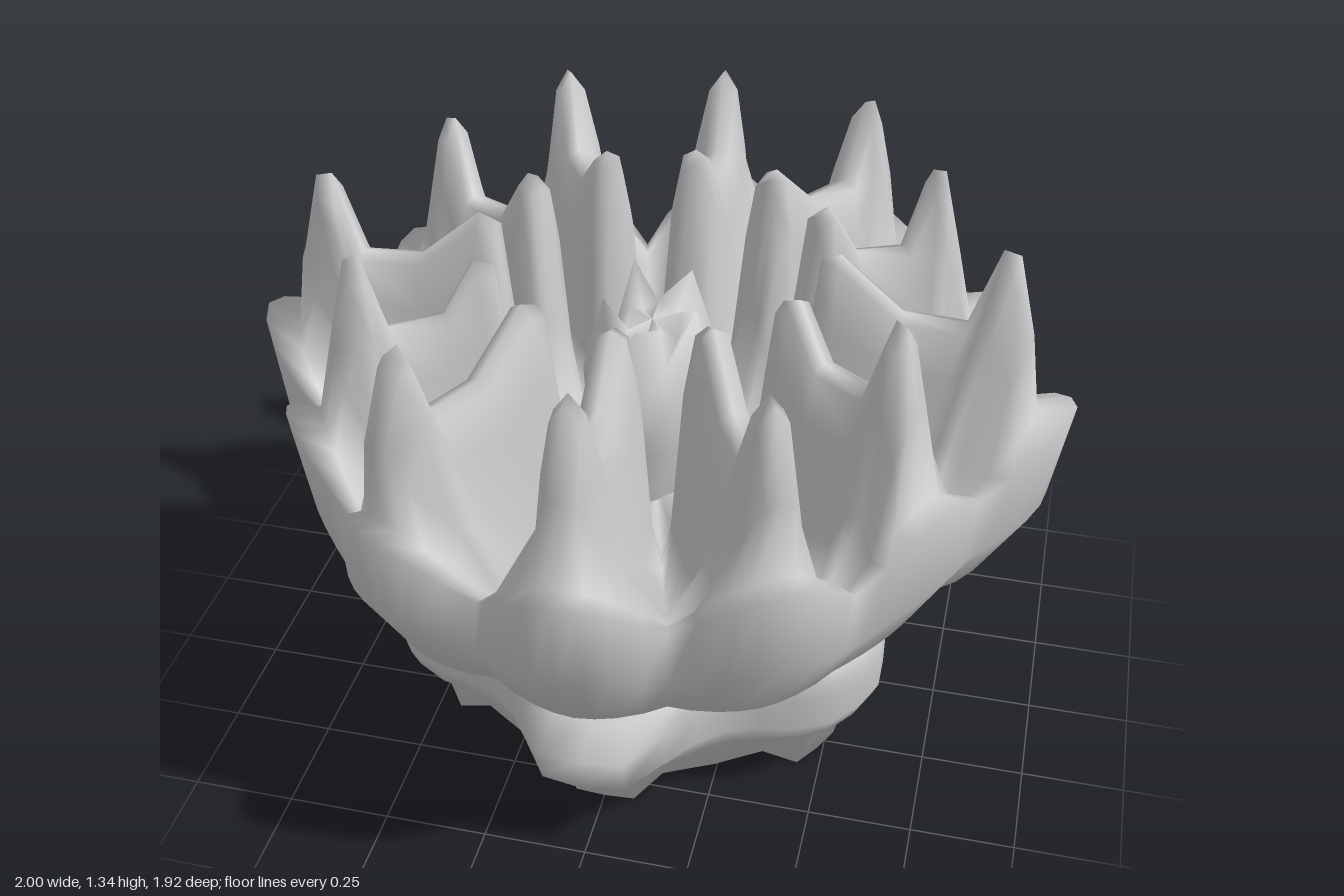
import * as THREE from 'three';

const material = new THREE.MeshStandardMaterial({ color: 0xcccccc, side: THREE.DoubleSide });
const LOBES = 12;
const STEP = (Math.PI * 2) / LOBES;
const HALF = Math.tan(STEP / 2);

// Skin of closed rings, stacked from the underside outwards and upwards
function ringSkin(name, rows, cols, point) {
  const pos = [], index = [];
  for (let i = 0; i < rows; i++)
    for (let j = 0; j < cols; j++) pos.push(...point(i, j));
  for (let i = 0; i < rows - 1; i++)
    for (let j = 0; j < cols; j++) {
      const k = (j + 1) % cols;
      const a = i * cols + j, b = i * cols + k, c = b + cols, d = a + cols;
      index.push(a, b, c, a, c, d);
    }
  const geometry = new THREE.BufferGeometry();
  geometry.setAttribute('position', new THREE.Float32BufferAttribute(pos, 3));
  geometry.setIndex(index);
  geometry.computeVertexNormals();
  const mesh = new THREE.Mesh(geometry, material);
  mesh.name = name;
  return mesh;
}

// Bowl sections: lobe centre radius, height, then valley radius, height
const SECTIONS = [
  [0.52, 0.40, 0.52, 0.40],
  [0.64, 0.42, 0.62, 0.42],
  [0.84, 0.50, 0.76, 0.51],
  [0.96, 0.70, 0.84, 0.65],
  [1.00, 0.95, 0.82, 0.78],
  [0.91, 0.93, 0.79, 0.77],
  // ridge: outer spike, saddle, inner tip, down to the floor
  [0.88, 1.13, 0.75, 0.74],
  [0.83, 1.33, 0.72, 0.72],
  [0.79, 1.34, 0.69, 0.71],
  [0.73, 1.14, 0.65, 0.69],
  [0.58, 1.15, 0.56, 0.66],
  [0.43, 1.28, 0.43, 0.63],
  [0.385, 1.26, 0.39, 0.62],
  [0.35, 0.90, 0.35, 0.60],
  [0.29, 0.60, 0.29, 0.59],
  [0, 0.58, 0, 0.58],
];
const OUTER_ROWS = 6;
const LOBE_SCALE = [0.96, 0.94, 0.89, 1, 0.89, 0.94];
const RIDGE_SCALE = [0.96, 0.98, 0.87, 1, 0.87, 0.98];
const PETAL_SPREAD = [0, 0.22, 0.45, 0.74, 1];
const RIDGE_SPREAD = [0, 0.034, 0.063, 0.1, 1];
const RIDGE_LIMIT = [0, 0.28, 0.52, 0.78, 1];
const SPIKE_WEIGHT = [1, 0.92, 0.68, 0.25, 0];
const WALL_WEIGHT = [1, 0.97, 0.74, 0.17, 0];

function bowlPoint(i, j) {
  const lobe = Math.floor(j / 8), k = (j % 8) - 4;
  const side = Math.sign(k), n = Math.abs(k);
  const [r1, y1, r0, y0] = SECTIONS[i];
  const outer = i < OUTER_ROWS;
  let scale = 1;
  if (outer && i > 1) scale = LOBE_SCALE[lobe % 6];
  else if (!outer && r1 > 0.5) scale = RIDGE_SCALE[lobe % 6];
  const ridge = y1 > 1.3 ? SPIKE_WEIGHT : WALL_WEIGHT;
  const w = outer ? 1 - PETAL_SPREAD[n] ** 1.7 : ridge[n];
  const valley = r0 * Math.cos(STEP / 2);
  const r = THREE.MathUtils.lerp(valley, r1 * scale, w);
  const y = THREE.MathUtils.lerp(y0, y1, w);
  const edge = r * HALF;
  const t = side * (outer ? edge * PETAL_SPREAD[n] : Math.min(RIDGE_SPREAD[n], edge * RIDGE_LIMIT[n]));
  const a = lobe * STEP, s = Math.sin(a), c = Math.cos(a);
  return [s * r + c * t, y, c * r - s * t];
}

// Base sections: radius, height, then added bulge, foot drop, foot reach and knob reach
const BASE = [
  [0, 0.06, 0, 0, 0, 0],
  [0.36, 0.06, 0, 0, 0, 0],
  [0.41, 0.05, 0, 0.05, 0, 0],
  [0.50, 0.04, 0, 0.04, 0.06, 0],
  [0.55, 0.17, 0, 0, 0.05, 0],
  [0.57, 0.185, 0.09, 0, 0, -0.02],
  [0.58, 0.23, 0.1, 0, 0, 0.08],
  [0.58, 0.32, 0.1, 0, 0, 0.09],
  [0.58, 0.365, 0.1, 0, 0, 0],
  [0.58, 0.40, 0.08, 0, 0, -0.03],
  [0.52, 0.42, 0, 0, 0, 0],
];
const BULGE = [1, 0.95, 0.65, 0.2, 0];
const FOOT = [1, 1, 0.1, 0, 0];
const KNOB = [1, 0.95, 0.2, 0, 0];

// Six bulges with a foot under each; the front and back ones carry a knob
function basePoint(i, j) {
  const a = (j / 48) * Math.PI * 2;
  const n = Math.abs(((j + 4) % 8) - 4);
  const [r, y, bulge, drop, reach, knob] = BASE[i];
  const hasKnob = Math.abs(Math.cos(a)) > 0.9;
  const d = r + bulge * BULGE[n] + reach * FOOT[n] + (hasKnob ? knob * KNOB[n] : 0);
  return [Math.sin(a) * d, y - drop * FOOT[n], Math.cos(a) * d];
}

// Bud sections: radius, height, height of its jagged tips
const BUD = [
  [0.15, 0.57, 0],
  [0.19, 0.74, 0],
  [0.20, 0.88, 0.02],
  [0.14, 1.02, 0.07],
  [0.08, 1.01, -0.02],
  [0, 1.02, 0],
];

function budPoint(i, j) {
  const a = (j / 10) * Math.PI * 2;
  const [r, y, jag] = BUD[i];
  const odd = j % 2 ? -1 : 1;
  const d = r * (1 + 0.1 * Math.cos(3 * a + 1) + odd * 0.06);
  return [Math.sin(a) * d * 0.85 - 0.02, y + odd * jag, Math.cos(a) * d * 1.15 - 0.04];
}

export function createModel() {
  const model = new THREE.Group();
  model.name = 'lotusBowl';
  model.add(
    ringSkin('petalBowl', SECTIONS.length, LOBES * 8, bowlPoint),
    ringSkin('footedBase', BASE.length, 48, basePoint),
    ringSkin('centreBud', BUD.length, 10, budPoint)
  );
  return model;
}
